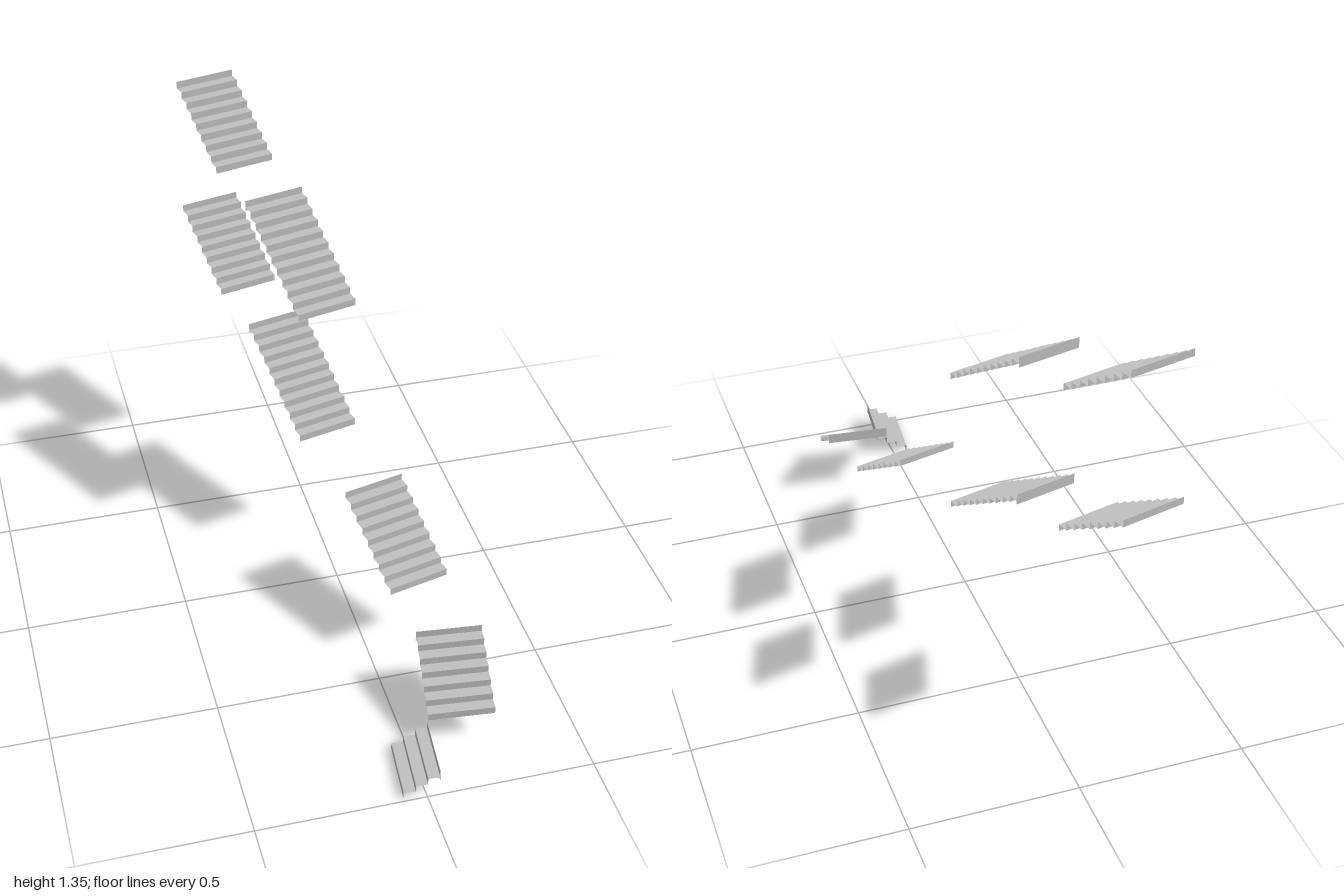
import * as THREE from 'three';
import { mergeGeometries } from 'three/addons/utils/BufferGeometryUtils.js';

const RISE = 0.02242;  // height of one riser
const RUN = 0.0346;    // depth of one tread
const WIDTH = 0.198;   // width of every flight

const concrete = new THREE.MeshStandardMaterial({ color: 0xc0c0c0, side: THREE.DoubleSide });
concrete.name = 'concrete grey';

// One open flight of thin sheets climbing towards local -z.
// It starts and ends with a riser; a skirt lengthens the last riser downwards.
function makeFlight(name, risers, skirt) {
  const riserParts = [];
  const treadParts = [];
  for (let i = 0; i < risers; i++) {
    const last = i === risers - 1;
    const drop = last ? skirt : 0;
    const riser = new THREE.PlaneGeometry(WIDTH, RISE + drop);
    riser.translate(0, (i + 0.5) * RISE - drop / 2, -i * RUN);
    riserParts.push(riser);
    if (last) break;
    const tread = new THREE.PlaneGeometry(WIDTH, RUN);
    tread.rotateX(-Math.PI / 2);
    tread.translate(0, (i + 1) * RISE, -(i + 0.5) * RUN);
    treadParts.push(tread);
  }
  const flight = new THREE.Group();
  flight.name = name;
  const riserMesh = new THREE.Mesh(mergeGeometries(riserParts), concrete);
  riserMesh.name = 'risers';
  const treadMesh = new THREE.Mesh(mergeGeometries(treadParts), concrete);
  treadMesh.name = 'treads';
  flight.add(riserMesh, treadMesh);
  return flight;
}

export function createModel() {
  const model = new THREE.Group();
  model.name = 'staircase';

  // Foot of each flight (x, z), heading in degrees, riser count, skirt on the last riser
  const flights = [
    { name: 'entryFlight', x: -0.057, z: 0.891, turn: -96, risers: 4, skirt: RISE / 2 },
    { name: 'secondFlight', x: 0.16, z: 0.807, turn: -6, risers: 7, skirt: RISE / 2 },
    { name: 'thirdFlight', x: 0.152, z: 0.389, turn: 14, risers: 9, skirt: 0 },
    { name: 'lowerLongFlight', x: 0.014, z: -0.171, turn: 14, risers: 11, skirt: RISE / 2 },
    { name: 'lowerEndFlight', x: -0.119, z: -0.706, turn: 14, risers: 9, skirt: 0 },
  ];
  // The upper storey repeats the last two flights
  flights.push({ ...flights[3], name: 'upperLongFlight' }, { ...flights[4], name: 'upperEndFlight' });

  // Each flight starts at the height where the one before it ended
  let level = 0;
  for (const f of flights) {
    const flight = makeFlight(f.name, f.risers, f.skirt);
    flight.position.set(f.x, level * RISE, f.z);
    flight.rotation.y = THREE.MathUtils.degToRad(f.turn);
    model.add(flight);
    level += f.risers;
  }
  return model;
}
